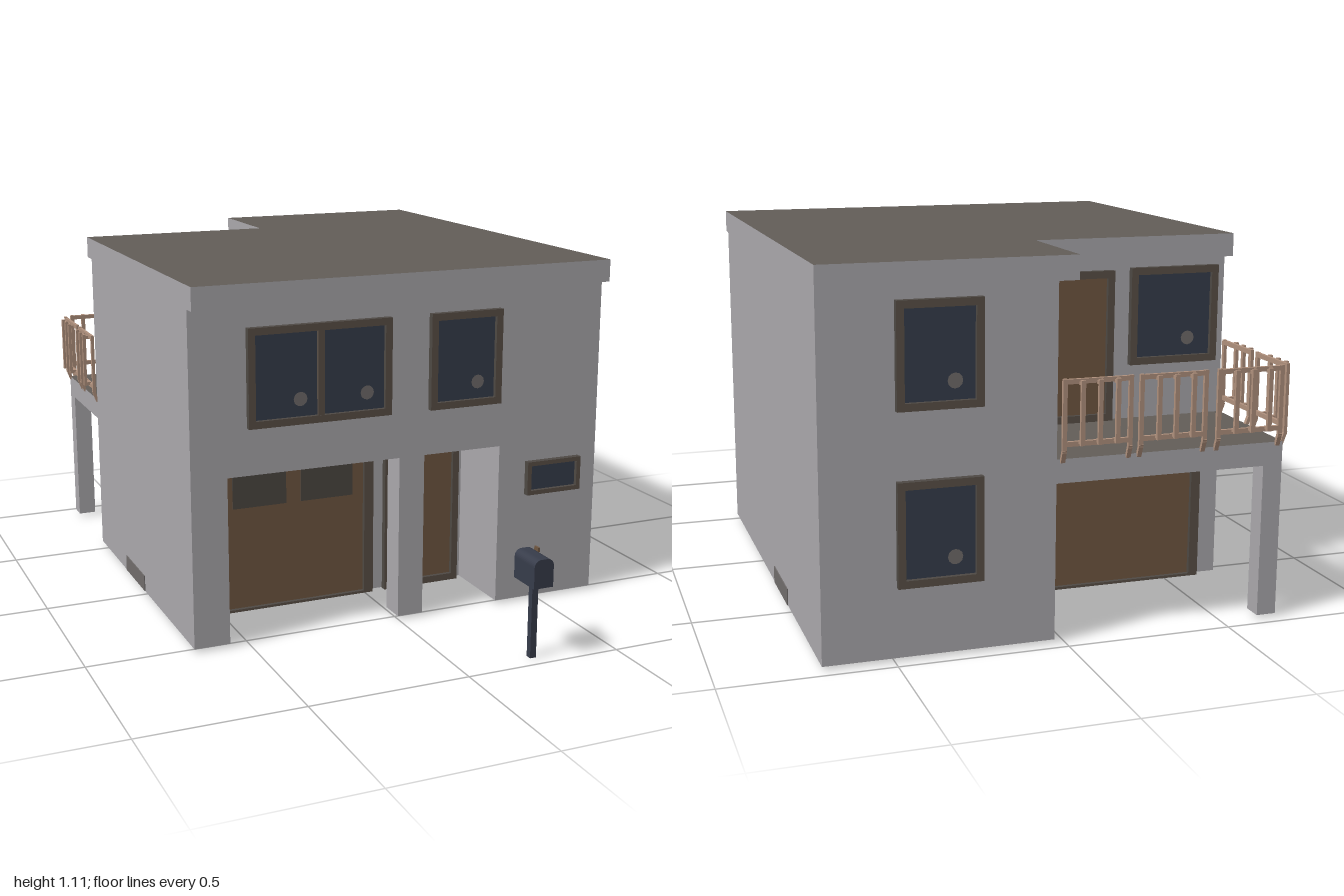
import * as THREE from 'three';

const mat = (name, color, side = THREE.FrontSide) => {
  const m = new THREE.MeshStandardMaterial({ color, side });
  m.name = name;
  return m;
};

export function createModel() {
  const house = new THREE.Group();
  house.name = 'house';
  const wallMat = mat('wallGrey', 0xaaa8ac, THREE.DoubleSide);
  const roofMat = mat('roofBrownGrey', 0x625d58, THREE.DoubleSide);
  const frameMat = mat('frameUmber', 0x5a5047);
  const edgeMat = mat('frameEdgeDark', 0x4e4944);
  const doorMat = mat('doorBrown', 0x705741);
  const glassMat = mat('glassNavy', 0x353d4b);
  const paneMat = mat('doorPaneGrey', 0x4d4842);
  const railMat = mat('railTan', 0xb0917d);
  const boxMat = mat('letterboxNavy', 0x373c4a);
  const ventMat = mat('ventGrey', 0x706c6b);

  const add = (parent, name, geo, m, x = 0, y = 0, z = 0) => {
    const mesh = new THREE.Mesh(geo, m);
    mesh.name = name;
    mesh.position.set(x, y, z);
    parent.add(mesh);
    return mesh;
  };
  const box = (parent, name, m, w, h, d, x, y, z) =>
    add(parent, name, new THREE.BoxGeometry(w, h, d), m, x, y, z);

  // Outward-facing wall strip around a closed plan of [x, z] corners
  const walls = (name, plan, y0, y1) => {
    const pos = [];
    plan.forEach(([ax, az], i) => {
      const [bx, bz] = plan[(i + 1) % plan.length];
      pos.push(ax, y0, az, bx, y0, bz, bx, y1, bz);
      pos.push(ax, y0, az, bx, y1, bz, ax, y1, az);
    });
    const geo = new THREE.BufferGeometry();
    geo.setAttribute('position', new THREE.Float32BufferAttribute(pos, 3));
    geo.computeVertexNormals();
    add(house, name, geo, wallMat);
  };
  const pillar = (name, x0, x1, z0, z1, y1) =>
    walls(name, [[x0, z1], [x1, z1], [x1, z0], [x0, z0]], 0.01, y1);
  // Flat downward-facing sheet
  const ceiling = (name, m, x0, x1, z0, z1, y) =>
    add(house, name, new THREE.PlaneGeometry(x1 - x0, z1 - z0).rotateX(Math.PI / 2), m,
      (x0 + x1) / 2, y, (z0 + z1) / 2);

  // Main planes: left and right sides, back, and the balcony notch
  const L = -0.673, R = 0.705, B = -0.962, NX = 0.03, NZ = -0.555;

  // Ground floor with the recessed porch, upper floor, and roof band
  walls('groundFloorWalls', [
    [L, 0.525], [-0.56, 0.525], [-0.56, 0.27], [0.35, 0.27], [0.35, 0.525],
    [R, 0.525], [R, B], [NX, B], [NX, NZ], [L, NZ],
  ], 0.01, 0.53);
  walls('upperFloorWalls', [[L, 0.525], [R, 0.525], [R, B], [NX, B], [NX, NZ], [L, NZ]], 0.53, 1.04);
  const roofPlan = [[L, 0.568], [R, 0.568], [R, B], [-0.03, B], [-0.03, -0.61], [L, -0.61]];
  walls('roofBand', roofPlan, 1.04, 1.11);
  const roofShape = new THREE.Shape(roofPlan.map(([x, z]) => new THREE.Vector2(x, -z)));
  add(house, 'roof', new THREE.ShapeGeometry(roofShape).rotateX(-Math.PI / 2), roofMat, 0, 1.11, 0);
  ceiling('frontSoffit', wallMat, L, R, 0.525, 0.568, 1.04);
  ceiling('backSoffit', wallMat, L, NX, -0.61, NZ, 1.04);
  ceiling('sideSoffit', wallMat, -0.03, NX, B, -0.61, 1.04);
  ceiling('porchCeiling', roofMat, -0.56, 0.35, 0.27, 0.525, 0.53);
  pillar('porchPillar', 0, 0.085, 0.44, 0.524, 0.53);

  // Balcony slab on its corner post
  box(house, 'balconySlab', [wallMat, wallMat, roofMat, roofMat, wallMat, wallMat],
    NX - L, 0.07, NZ - B, (NX + L) / 2, 0.505, (NZ + B) / 2);
  pillar('balconyPost', L, L + 0.06, B, B + 0.06, 0.47);

  // Framed window or door; local +z points out of the wall, y is its bottom
  const opening = (name, { w, h, x, y, z, turn = 0, fill = glassMat, mullion = false, bar = 0.022, sill = bar, glints = [] }) => {
    const g = new THREE.Group();
    g.name = name;
    const rect = (T, rw, y0, y1) => new T().moveTo(-rw, y0).lineTo(rw, y0).lineTo(rw, y1).lineTo(-rw, y1).closePath();
    const shape = rect(THREE.Shape, w / 2, 0, h);
    shape.holes.push(rect(THREE.Path, w / 2 - bar, sill, h - bar));
    const geo = new THREE.ExtrudeGeometry(shape, { depth: 0.036, bevelEnabled: false });
    add(g, 'frame', geo, [frameMat, edgeMat], 0, 0, -0.016);
    const panelH = h - bar - sill;
    box(g, 'panel', fill, w - bar * 2, panelH, 0.018, 0, sill + panelH / 2, -0.002);
    if (mullion) box(g, 'mullion', frameMat, 0.02, panelH, 0.03, 0, sill + panelH / 2, 0.003);
    for (const gx of glints) add(g, 'glint', new THREE.CircleGeometry(0.022, 12), ventMat, gx, 0.075, 0.009);
    g.position.set(x, y, z);
    g.rotation.y = turn;
    house.add(g);
    return g;
  };
  const back = Math.PI;

  // Front
  opening('wideFrontWindow', { w: 0.46, h: 0.3, x: -0.267, y: 0.675, z: 0.525, mullion: true, glints: [-0.064, 0.152] });
  opening('frontWindow', { w: 0.245, h: 0.3, x: 0.218, y: 0.675, z: 0.525, glints: [0.043] });
  opening('slotWindow', { w: 0.195, h: 0.11, x: 0.543, y: 0.36, z: 0.525, bar: 0.014 });
  const garage = opening('garageDoor', { w: 0.55, h: 0.49, x: -0.255, y: 0.008, z: 0.27, fill: doorMat, bar: 0.032, sill: 0.008 });
  for (const s of [-1, 1]) box(garage, 'garagePane', paneMat, 0.18, 0.115, 0.004, s * 0.115, 0.398, 0.008);
  opening('frontDoor', { w: 0.27, h: 0.482, x: 0.197, y: 0.008, z: 0.27, fill: doorMat });

  // Back and balcony side
  for (const y of [0.215, 0.71]) opening('backWindow', { w: 0.245, h: 0.3, x: 0.37, y, z: B, turn: back, glints: [0.043] });
  opening('balconyDoor', { w: 0.285, h: 0.465, x: -0.157, y: 0.54, z: NZ, turn: back, fill: doorMat });
  opening('balconyWindow', { w: 0.29, h: 0.3, x: -0.5, y: 0.71, z: NZ, turn: back, glints: [0.05] });
  opening('patioDoor', { w: 0.56, h: 0.46, x: -0.325, y: 0.008, z: NZ, turn: back, fill: doorMat, bar: 0.03, sill: 0.008 });
  opening('sideDoor', { w: 0.28, h: 0.46, x: NX, y: 0.008, z: -0.75, turn: -Math.PI / 2, fill: doorMat });

  // Balcony railing: panels with bars standing out from the rails
  const railing = (w, x, z, turn) => {
    const g = new THREE.Group();
    g.name = 'railingPanel';
    for (const y of [0.585, 0.762]) box(g, 'rail', railMat, w, 0.014, 0.01, 0, y, 0);
    for (const s of [-1, 1]) {
      box(g, 'railingPost', railMat, 0.013, 0.21, 0.01, s * (w / 2 - 0.0065), 0.665, 0);
      const foot = box(g, 'railingFoot', railMat, 0.013, 0.04, 0.01, s * (w / 2 - 0.0065), 0.55, -0.005);
      foot.rotation.x = 0.35;
    }
    for (const i of [-1, 0, 1]) {
      const bx = i * w * 0.25;
      box(g, 'railingBar', railMat, 0.013, 0.185, 0.01, bx, 0.675, 0.02);
      for (const y of [0.59, 0.757]) box(g, 'barBracket', railMat, 0.01, 0.01, 0.018, bx, y, 0.01);
    }
    g.position.set(x, 0, z);
    g.rotation.y = turn;
    house.add(g);
  };
  for (const x of [-0.555, -0.315, -0.085]) railing(0.21, x, -0.974, back);
  for (const z of [-0.865, -0.648]) railing(0.19, -0.682, z, -Math.PI / 2);

  // Low vents set through both side walls
  box(house, 'rightVent', ventMat, 0.006, 0.052, 0.22, R, 0.038, -0.36);
  box(house, 'leftVent', ventMat, 0.006, 0.052, 0.22, L, 0.038, -0.11);

  // Letterbox on a pole, with rounded top corners and a small flag
  const letterbox = new THREE.Group();
  letterbox.name = 'letterbox';
  const arch = new THREE.Shape().moveTo(-0.032, 0).lineTo(0.032, 0);
  arch.absarc(0.01, 0.066, 0.022, 0, Math.PI / 2, false);
  arch.absarc(-0.01, 0.066, 0.022, Math.PI / 2, Math.PI, false).closePath();
  add(letterbox, 'letterboxBody',
    new THREE.ExtrudeGeometry(arch, { depth: 0.115, bevelEnabled: false, curveSegments: 4 }), boxMat, 0, 0.235, -0.06);
  box(letterbox, 'letterboxPole', boxMat, 0.02, 0.236, 0.02, 0, 0.118, 0);
  box(letterbox, 'flagArm', doorMat, 0.006, 0.035, 0.008, 0.035, 0.305, -0.05);
  box(letterbox, 'flag', doorMat, 0.006, 0.014, 0.022, 0.035, 0.318, -0.046);
  letterbox.position.set(0.238, 0, 0.945);
  house.add(letterbox);

  return house;
}
